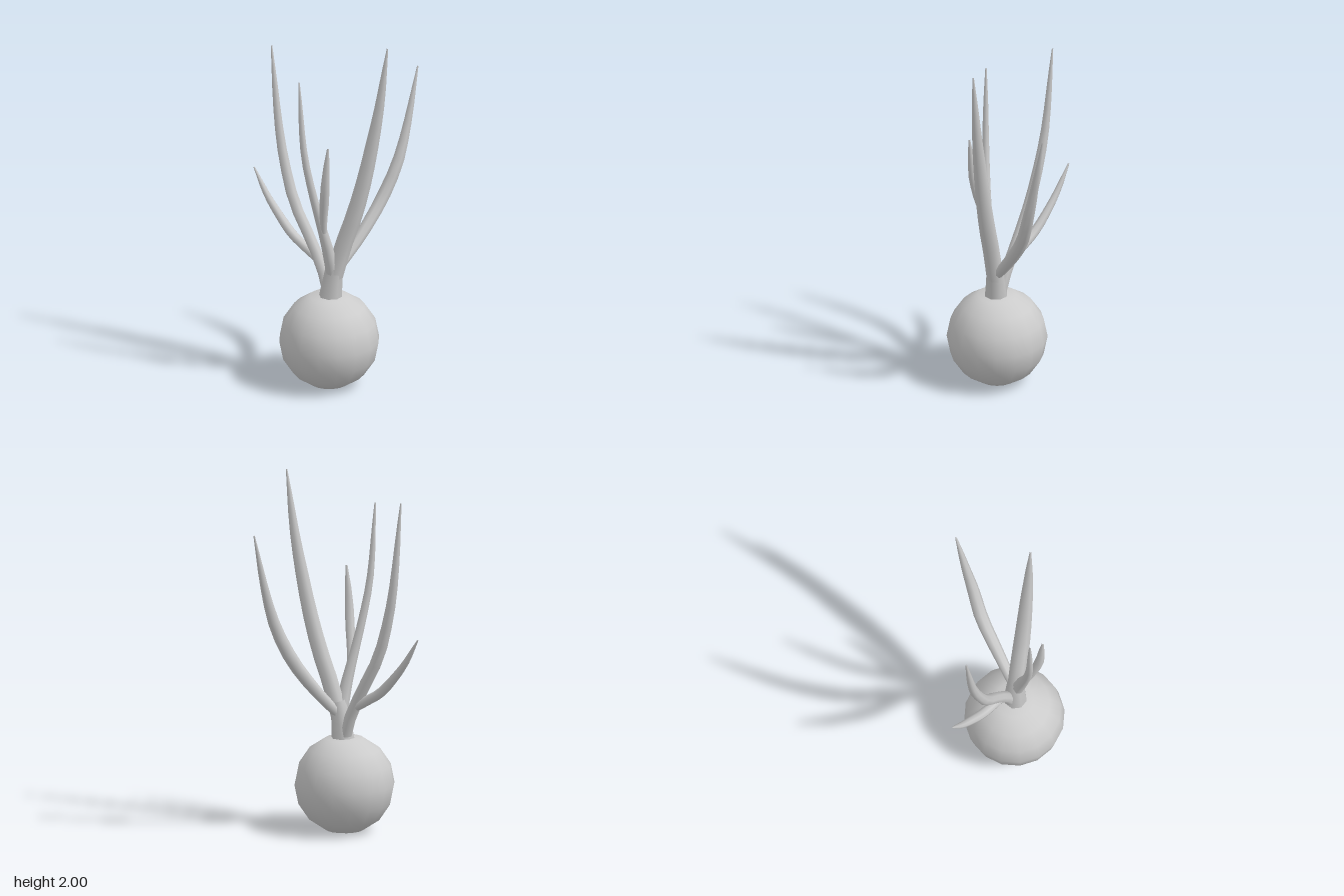
import * as THREE from 'three';

const material = new THREE.MeshStandardMaterial({ color: 0xcccccc });

// Tube through the points whose radius follows the evenly spaced radii
function taperedTube(name, points, radii, segments = 12, sides = 8) {
  const curve = new THREE.CatmullRomCurve3(points.map(p => new THREE.Vector3(...p)));
  const geometry = new THREE.TubeGeometry(curve, segments, 1, sides);
  const position = geometry.attributes.position;
  const v = new THREE.Vector3();
  for (let i = 0; i <= segments; i++) {
    const u = i / segments;
    const centre = curve.getPointAt(u);
    const t = u * (radii.length - 1);
    const k = Math.min(Math.floor(t), radii.length - 2);
    const radius = THREE.MathUtils.lerp(radii[k], radii[k + 1], t - k);
    for (let j = 0; j <= sides; j++) {
      const n = i * (sides + 1) + j;
      v.fromBufferAttribute(position, n).sub(centre).multiplyScalar(radius).add(centre);
      position.setXYZ(n, v.x, v.y, v.z);
    }
  }
  const mesh = new THREE.Mesh(geometry, material);
  mesh.name = name;
  return mesh;
}

export function createModel() {
  const group = new THREE.Group();
  group.name = 'sproutingBulb';

  // Round bulb with nearly flat poles
  const profile = [new THREE.Vector2(0, -0.26)];
  for (let i = 1; i < 8; i++) {
    const a = (i * Math.PI) / 8;
    profile.push(new THREE.Vector2(0.275 * Math.sin(a), -0.275 * Math.cos(a)));
  }
  profile.push(new THREE.Vector2(0, 0.26));
  const bulb = new THREE.Mesh(new THREE.LatheGeometry(profile, 16), material);
  bulb.name = 'bulb';
  bulb.position.set(0.035, 0.26, 0.085);
  group.add(bulb);

  // Short neck that the leaves grow from
  group.add(taperedTube('neck',
    [[0.042, 0.49, 0.088], [0.05, 0.57, 0.087], [0.064, 0.67, 0.085], [0.075, 0.72, 0.085]],
    [0.067, 0.058, 0.052, 0.045], 4));

  // Tall leaves
  group.add(taperedTube('leftTallLeaf',
    [[0.06, 0.62, 0.085], [0.115, 0.82, 0.085], [0.175, 1.0, 0.085], [0.228, 1.2, 0.085],
      [0.27, 1.4, 0.085], [0.315, 1.65, 0.085], [0.36, 2.0, 0.085]],
    [0.048, 0.047, 0.046, 0.042, 0.037, 0.029, 0.019, 0.004]));
  group.add(taperedTube('backLeaf',
    [[0.06, 0.64, 0.08], [0.165, 0.8, -0.04], [0.27, 1.0, -0.165], [0.345, 1.2, -0.235],
      [0.385, 1.4, -0.288], [0.43, 1.725, -0.357]],
    [0.026, 0.031, 0.036, 0.037, 0.033, 0.025, 0.016, 0.004]));
  group.add(taperedTube('rightTallLeaf',
    [[0.03, 0.52, 0.07], [-0.01, 0.65, 0.048], [-0.08, 0.8, 0.018], [-0.18, 1.0, -0.015],
      [-0.238, 1.2, -0.042], [-0.276, 1.4, -0.063], [-0.325, 1.887, -0.087]],
    [0.035, 0.032, 0.032, 0.031, 0.027, 0.022, 0.015, 0.004]));
  group.add(taperedTube('frontTallLeaf',
    [[0.06, 0.62, 0.09], [0.036, 0.8, 0.125], [-0.006, 1.0, 0.16], [-0.048, 1.2, 0.186],
      [-0.08, 1.4, 0.203], [-0.105, 1.81, 0.212]],
    [0.038, 0.034, 0.026, 0.023, 0.021, 0.018, 0.013, 0.004]));

  // Side shoots that branch off the tall leaves
  group.add(taperedTube('rightSideShoot',
    [[-0.05, 0.71, 0.028], [-0.12, 0.755, 0.0], [-0.2, 0.81, -0.035], [-0.285, 0.905, -0.073],
      [-0.355, 1.0, -0.102], [-0.433, 1.14, -0.136]],
    [0.026, 0.027, 0.026, 0.022, 0.016, 0.004]));
  group.add(taperedTube('frontSideShoot',
    [[0.018, 0.87, 0.14], [0.024, 1.0, 0.178], [0.043, 1.2, 0.223], [0.062, 1.445, 0.238]],
    [0.016, 0.021, 0.026, 0.025, 0.018, 0.005], 10));

  return group;
}
